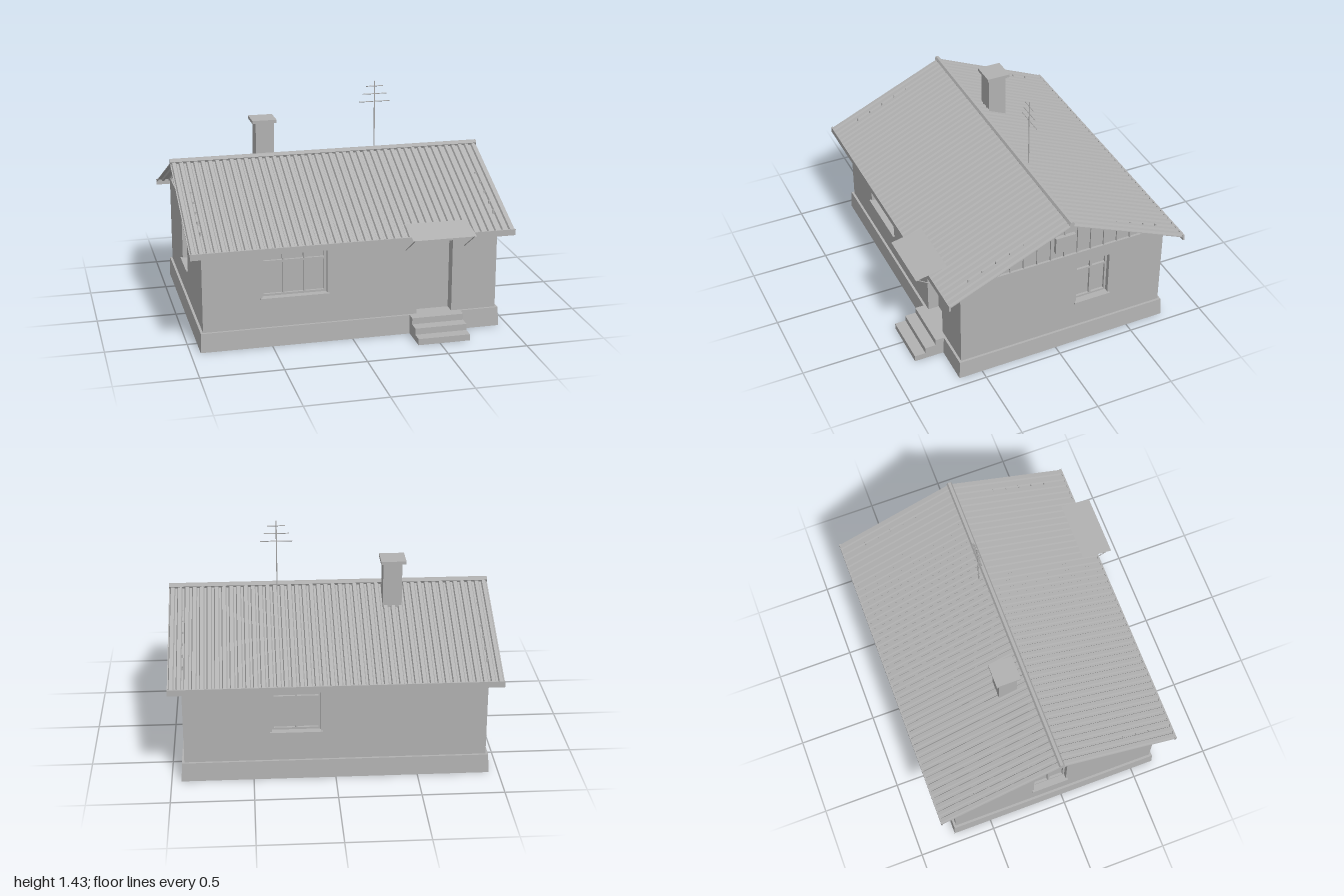
import * as THREE from 'three';

const RIDGE_Z = -0.05;
const HALF_DEPTH = 0.68;
const SLOPE = 0.442;

export function createModel() {
  const house = new THREE.Group();
  house.name = 'house';
  const grey = new THREE.MeshStandardMaterial({ color: 0xb2b2b2 });
  grey.name = 'plain grey';
  const greySheet = grey.clone();
  greySheet.side = THREE.DoubleSide;

  const add = (parent, name, geometry, x = 0, y = 0, z = 0, material = grey) => {
    const mesh = new THREE.Mesh(geometry, material);
    mesh.name = name;
    mesh.position.set(x, y, z);
    parent.add(mesh);
    return mesh;
  };
  // box given by its minimum and maximum corners
  const box = (parent, name, x0, x1, y0, y1, z0, z1) =>
    add(parent, name, new THREE.BoxGeometry(x1 - x0, y1 - y0, z1 - z0),
      (x0 + x1) / 2, (y0 + y1) / 2, (z0 + z1) / 2);
  const group = (name, x, y, z, turn = 0) => {
    const g = new THREE.Group();
    g.name = name;
    g.position.set(x, y, z);
    g.rotation.y = turn;
    house.add(g);
    return g;
  };
  const polygon = (points) => new THREE.Shape(points.map(([x, y]) => new THREE.Vector2(x, y)));
  const extrude = (shape, depth) => new THREE.ExtrudeGeometry(shape, { depth, bevelEnabled: false });
  const rod = (parent, name, from, to, radius) => {
    const a = new THREE.Vector3(...from), b = new THREE.Vector3(...to);
    const mesh = add(parent, name, new THREE.CylinderGeometry(radius, radius, a.distanceTo(b), 6));
    mesh.position.copy(a).add(b).multiplyScalar(0.5);
    mesh.quaternion.setFromUnitVectors(new THREE.Vector3(0, 1, 0), b.sub(a).normalize());
  };

  // plinth, slightly wider at its foot
  const plinth = new THREE.BoxGeometry(1.87, 0.12, 1.39);
  const pos = plinth.attributes.position;
  for (let i = 0; i < pos.count; i++) {
    if (pos.getY(i) < 0) {
      pos.setX(i, pos.getX(i) + Math.sign(pos.getX(i)) * 0.005);
      pos.setZ(i, pos.getZ(i) + Math.sign(pos.getZ(i)) * 0.006);
    }
  }
  plinth.computeVertexNormals();
  add(house, 'plinth', plinth, 0, 0.06, RIDGE_Z);

  // wall pierced by rectangular openings [x0, x1, y0, y1]; outer face at local z = 0
  const wall = (parent, width, openings) => {
    const w = width / 2;
    const shape = polygon([[-w, 0.11], [w, 0.11], [w, 0.687], [-w, 0.687]]);
    for (const [x0, x1, y0, y1] of openings) {
      shape.holes.push(new THREE.Path([[x0, y0], [x0, y1], [x1, y1], [x1, y0]]
        .map(([x, y]) => new THREE.Vector2(x, y))));
    }
    add(parent, 'wall', extrude(shape, 0.08), 0, 0, -0.08);
  };

  // recessed casement window with a transom and a projecting sill
  const windowUnit = (parent, [x0, x1, y0, y1], panes) => {
    const f = 0.013, back = -0.06, front = -0.03;
    box(parent, 'windowPane', x0, x1, y0, y1, -0.07, -0.045);
    box(parent, 'windowFrameTop', x0, x1, y1 - f, y1, back, front);
    box(parent, 'windowFrameBottom', x0, x1, y0, y0 + f, back, front);
    box(parent, 'windowTransom', x0, x1, 0.52, 0.534, back, front);
    for (let i = 0; i <= panes; i++) {
      const x = x0 + f / 2 + (x1 - x0 - f) * i / panes;
      box(parent, 'windowMullion', x - f / 2, x + f / 2, y0, y1, back, front);
    }
    box(parent, 'windowSill', x0 - 0.012, x1 + 0.012, y0 - 0.01, y0, -0.04, 0.014);
  };

  // long walls with door and windows
  const frontSide = group('frontSide', 0, 0, 0.63);
  const frontWindow = [-0.555, -0.155, 0.31, 0.61];
  wall(frontSide, 1.84, [frontWindow, [0.41, 0.635, 0.12, 0.585]]);
  windowUnit(frontSide, frontWindow, 3);
  box(frontSide, 'door', 0.40, 0.645, 0.115, 0.59, -0.09, -0.07);

  const backSide = group('backSide', 0, 0, -0.73, Math.PI);
  const backWindow = [-0.385, -0.09, 0.31, 0.61];
  wall(backSide, 1.84, [backWindow]);
  windowUnit(backSide, backWindow, 2);

  // gable ends: wall, boarded triangle, frieze board and hatch
  for (const [side, centre] of [[1, 0.20], [-1, -0.03]]) {
    const end = group(side > 0 ? 'leftGableEnd' : 'rightGableEnd', side * 0.92, 0, RIDGE_Z, side * Math.PI / 2);
    const opening = [centre - 0.11, centre + 0.11, 0.31, 0.61];
    wall(end, HALF_DEPTH * 2, [opening]);
    windowUnit(end, opening, 2);
    const triangle = polygon([[-HALF_DEPTH, 0.685], [HALF_DEPTH, 0.685], [0, 0.955]]);
    add(end, 'gablePanel', extrude(triangle, 0.03), 0, 0, -0.042);
    box(end, 'friezeBoard', -0.61, 0.61, 0.685, 0.699, -0.03, 0.003);
    for (let k = -7; k <= 7; k++) {
      const x = k * 0.089;
      box(end, 'coverStrip', x - 0.004, x + 0.004, 0.69, 0.984 - 0.395 * Math.abs(x), -0.013, -0.002);
    }
    box(end, 'gableHatch', -0.065, 0.065, 0.75, 0.86, -0.02, 0.012);
  }

  // corrugated sheet profile, closed underneath
  const waves = 44, pitch = 2 / waves;
  const top = [];
  for (let i = 0; i < waves; i++) {
    const x = -1 + i * pitch;
    top.push([x, -0.009], [x + pitch * 0.14, -0.009], [x + pitch * 0.26, 0.003],
      [x + pitch * 0.74, 0.003], [x + pitch * 0.86, -0.009]);
  }
  top.push([1, -0.009]);
  const under = top.map(([x, y]) => [x, y - 0.005]).reverse();
  const angle = Math.atan(SLOPE);
  const sheet = extrude(polygon([...under, ...top].reverse()), 0.782 / Math.cos(angle));
  for (const [name, turn] of [['frontRoof', 0], ['backRoof', Math.PI]]) {
    const roof = group(name, 0, 1, RIDGE_Z, turn);
    add(roof, 'corrugatedSheet', sheet).rotation.x = angle;
    box(roof, 'eavesBoard', -1, 1, -0.38, -0.342, 0.774, 0.785);
  }
  const ridge = add(house, 'ridgeCap', new THREE.CylinderGeometry(0.018, 0.018, 2, 6).toNonIndexed(), 0, 1, RIDGE_Z);
  ridge.geometry.computeVertexNormals();
  ridge.rotation.z = Math.PI / 2;

  // chimney
  box(house, 'chimneyStack', -0.44, -0.323, 0.8, 1.195, -0.245, -0.128);
  box(house, 'chimneyCap', -0.463, -0.308, 1.192, 1.212, -0.265, -0.112);

  // aerial
  const mastX = 0.327, mastZ = -0.095;
  rod(house, 'aerialMast', [mastX, 0.95, mastZ], [mastX, 1.433, mastZ], 0.004);
  for (const [y, half] of [[1.3, 0.1], [1.35, 0.078], [1.4, 0.055]]) {
    rod(house, 'aerialBar', [mastX - half, y, mastZ], [mastX + half, y, mastZ], 0.003);
  }

  // porch canopy and its braces
  const canopy = add(house, 'porchCanopy', new THREE.PlaneGeometry(0.395, Math.hypot(0.2, 0.042)),
    0.523, 0.686, 0.724, greySheet);
  canopy.rotation.x = -Math.PI / 2 + Math.atan(0.042 / 0.2);
  for (const x of [0.337, 0.71]) {
    rod(house, 'canopyBrace', [x, 0.54, 0.628], [x, 0.664, 0.818], 0.003);
  }

  // entrance steps
  [0.84, 0.77, 0.70].forEach((z, i) =>
    box(house, 'entranceStep', 0.363, 0.69, i * 0.04, (i + 1) * 0.04, 0.6, z));

  return house;
}
